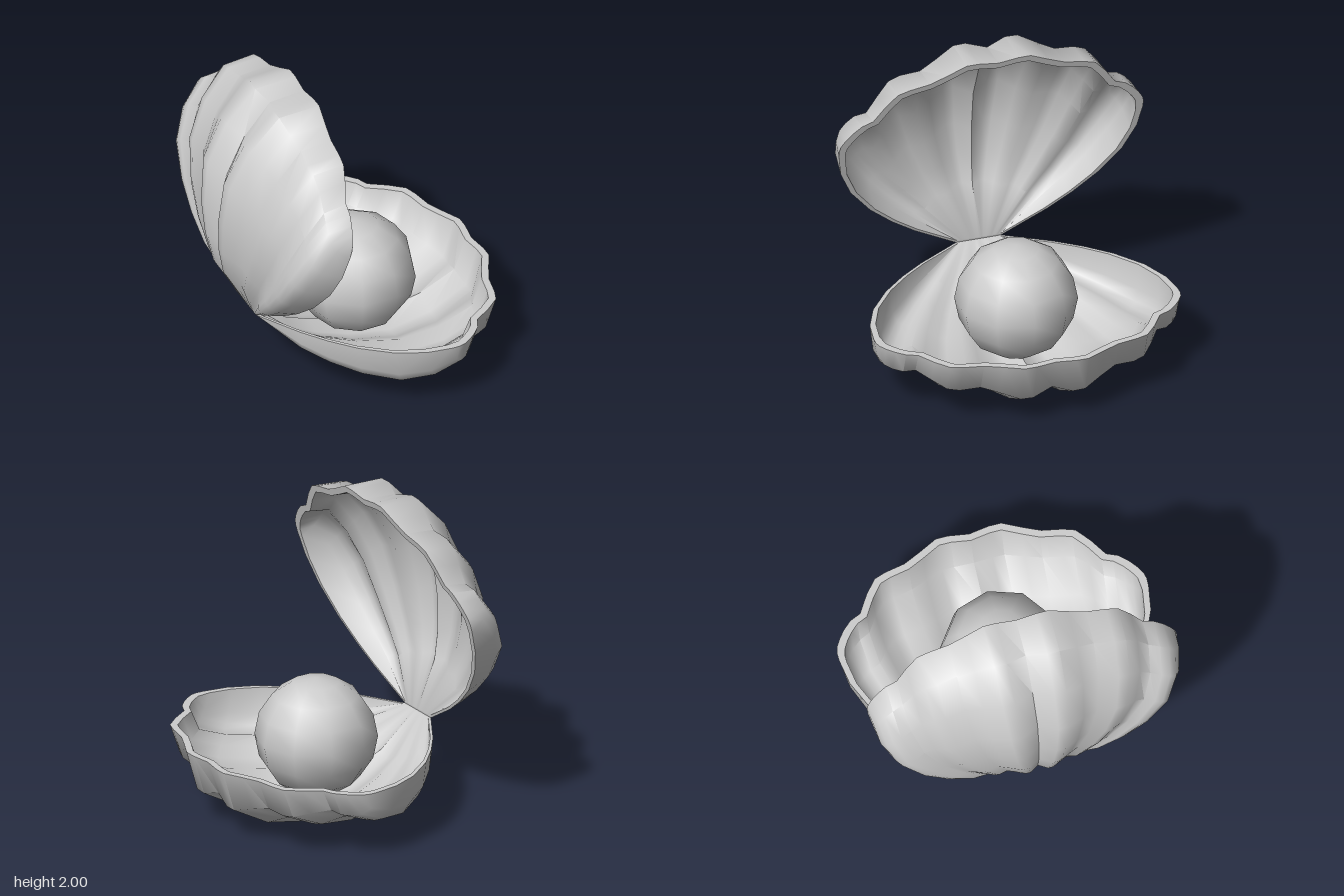
import * as THREE from 'three';
import { toCreasedNormals } from 'three/addons/utils/BufferGeometryUtils.js';

// Ribs of half a shell, centre to side: [reach from hinge, half width, depth]
const RIBS = [
  [1.56, 0, 0.39], [1.58, 0.13, 0.47], [1.58, 0.21, 0.465], [1.52, 0.33, 0.4],
  [1.47, 0.44, 0.345], [1.445, 0.57, 0.365], [1.42, 0.645, 0.345], [1.33, 0.72, 0.29],
  [1.22, 0.79, 0.25], [1.19, 0.86, 0.275], [1.14, 0.915, 0.27], [1.09, 0.955, 0.25],
  [1.04, 0.985, 0.18], [1.0, 0.995, 0],
];

// Curve of every rib from hinge to lip: [fraction of reach, fraction of depth]
const ARC = [
  [0, 0], [0.17, 0.55], [0.285, 0.745], [0.425, 0.9],
  [0.61, 1], [0.79, 0.87], [0.95, 0.57], [1, 0],
];

// Closed fan shell: hinge along z at the origin, rim in the plane y = 0, bulging down
function shellGeometry() {
  const mirrored = RIBS.slice(1).reverse().map(([s, z, d]) => [s, -z, d]);
  const ribs = [...mirrored, ...RIBS];
  const n = ribs.length, loop = 2 * n;
  const pos = [], index = [];

  // Each cross-section runs along the outside and back along the inside
  for (const [f, depth] of ARC) {
    const spread = 0.15 + 0.85 * (1 - Math.pow(1 - f, 2.2));
    for (const [s, z, d] of ribs) pos.push(s * f, -d * depth, z * spread);
    for (const [s, z, d] of [...ribs].reverse()) {
      pos.push(0.015 + 0.962 * s * f, -0.93 * d * depth, 0.955 * z * spread);
    }
  }
  const quad = (a, b, c, d) => index.push(a, b, c, a, c, d);
  for (let r = 0; r < ARC.length - 1; r++) {
    for (let i = 0; i < loop; i++) {
      const j = (i + 1) % loop, a = r * loop, b = a + loop;
      quad(a + i, b + i, b + j, a + j);
    }
  }
  // Flat rim at the hinge and at the scalloped lip
  const last = (ARC.length - 1) * loop;
  for (let i = 0; i < n - 1; i++) {
    const inner = loop - 1 - i;
    quad(i, i + 1, inner - 1, inner);
    quad(last + i, last + inner, last + inner - 1, last + i + 1);
  }
  const g = new THREE.BufferGeometry();
  g.setAttribute('position', new THREE.Float32BufferAttribute(pos, 3));
  g.setIndex(index);
  return toCreasedNormals(g, 0.9);
}

export function createModel() {
  const model = new THREE.Group();
  model.name = 'openClam';
  const material = new THREE.MeshStandardMaterial({ color: 0xcccccc });
  const shell = shellGeometry();

  const lower = new THREE.Mesh(shell, material);
  lower.name = 'lowerShell';
  lower.position.set(-0.68, 0.47, 0);

  // The same shell turned over, then swung open about the hinge
  const upper = new THREE.Mesh(shell, material);
  upper.name = 'upperShell';
  upper.position.copy(lower.position);
  upper.rotation.set(Math.PI, 0, THREE.MathUtils.degToRad(75), 'ZYX');

  const pearl = new THREE.Mesh(new THREE.SphereGeometry(0.385, 10, 8), material);
  pearl.name = 'pearl';
  pearl.position.set(0.075, 0.475, 0);

  model.add(lower, upper, pearl);
  return model;
}
